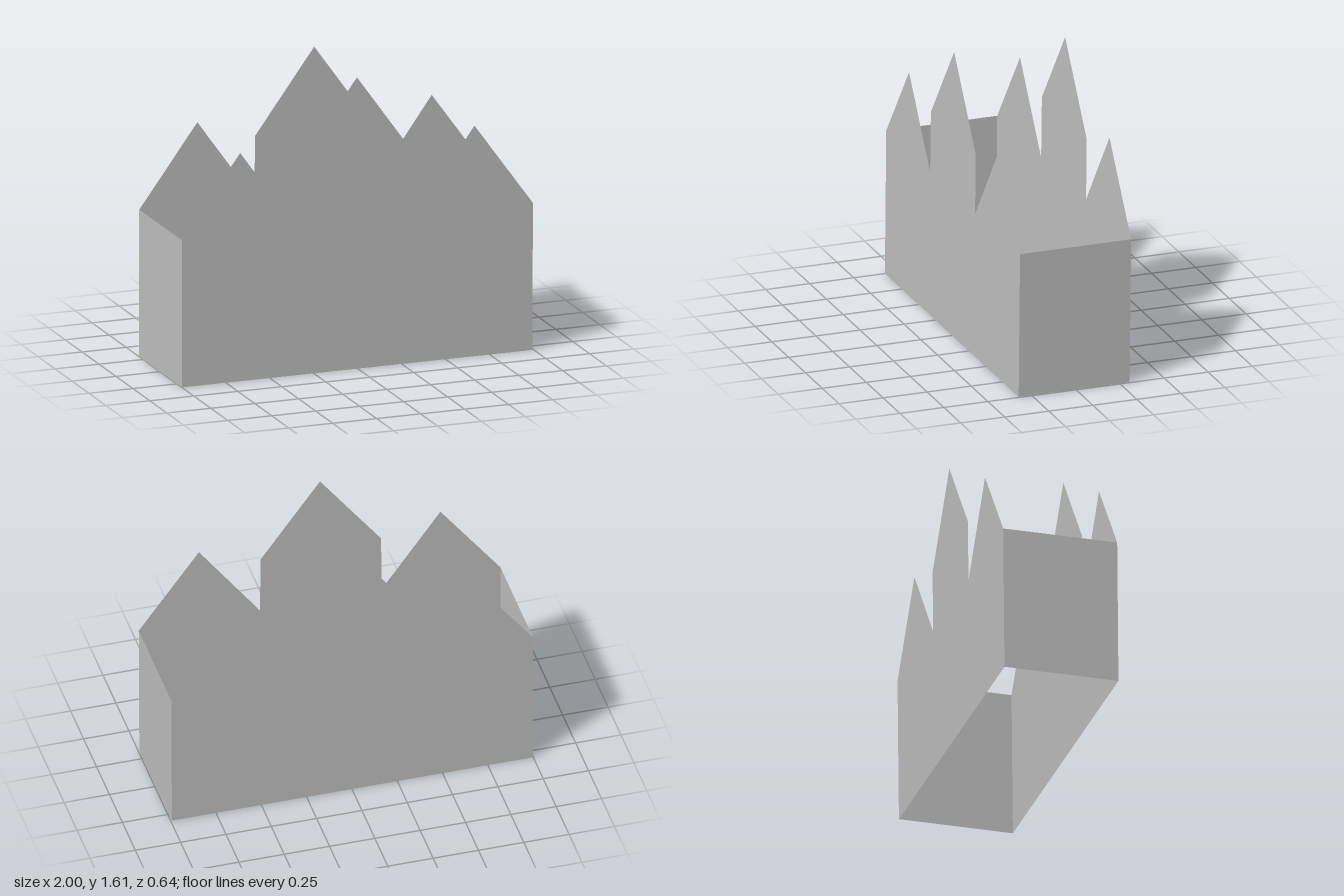
import * as THREE from 'three';

// Outline shared by both gabled walls, anticlockwise from the lower left
const OUTLINE = [
  [-1, 0], [0.993, 0], [0.998, 0.81], [0.667, 1.27], [0.329, 0.803],
  [0.327, 1.147], [0, 1.605], [-0.338, 1.147], [-0.342, 0.803],
  [-0.665, 1.257], [-0.997, 0.81],
];
const FRONT_Z = 0.323;
const BACK_Z = -0.307;
const LEAN = 0.0075; // the whole shell leans slightly backwards

export function createModel() {
  const model = new THREE.Group();
  model.name = 'gabledShell';
  const grey = new THREE.MeshStandardMaterial({ color: 0xc0c0c0, side: THREE.DoubleSide });
  grey.name = 'plain grey';

  const lean = new THREE.Matrix4().set(1, 0, 0, 0, 0, 1, 0, 0, 0, -LEAN, 1, 0, 0, 0, 0, 1);
  const add = (name, geometry) => {
    geometry.applyMatrix4(lean);
    geometry.computeVertexNormals();
    const mesh = new THREE.Mesh(geometry, grey);
    mesh.name = name;
    model.add(mesh);
  };

  // Front and back walls with three gables each
  const gableWall = (flip) => new THREE.ShapeGeometry(
    new THREE.Shape(OUTLINE.map(([x, y]) => new THREE.Vector2(flip * x, y))));
  add('frontWall', gableWall(1).translate(0, 0, FRONT_Z));
  add('backWall', gableWall(-1).rotateY(Math.PI).translate(0, 0, BACK_Z));

  // Plain end walls; top and bottom stay open
  const endWall = ([x0, y0], [x1, y1], side) => {
    const g = new THREE.BufferGeometry();
    g.setAttribute('position', new THREE.Float32BufferAttribute([
      x0, y0, FRONT_Z, x0, y0, BACK_Z, x1, y1, BACK_Z, x1, y1, FRONT_Z,
    ], 3));
    g.setIndex(side > 0 ? [0, 1, 2, 0, 2, 3] : [0, 2, 1, 0, 3, 2]);
    return g;
  };
  add('leftWall', endWall(OUTLINE[1], OUTLINE[2], 1));
  add('rightWall', endWall(OUTLINE[0], OUTLINE[10], -1));

  return model;
}
